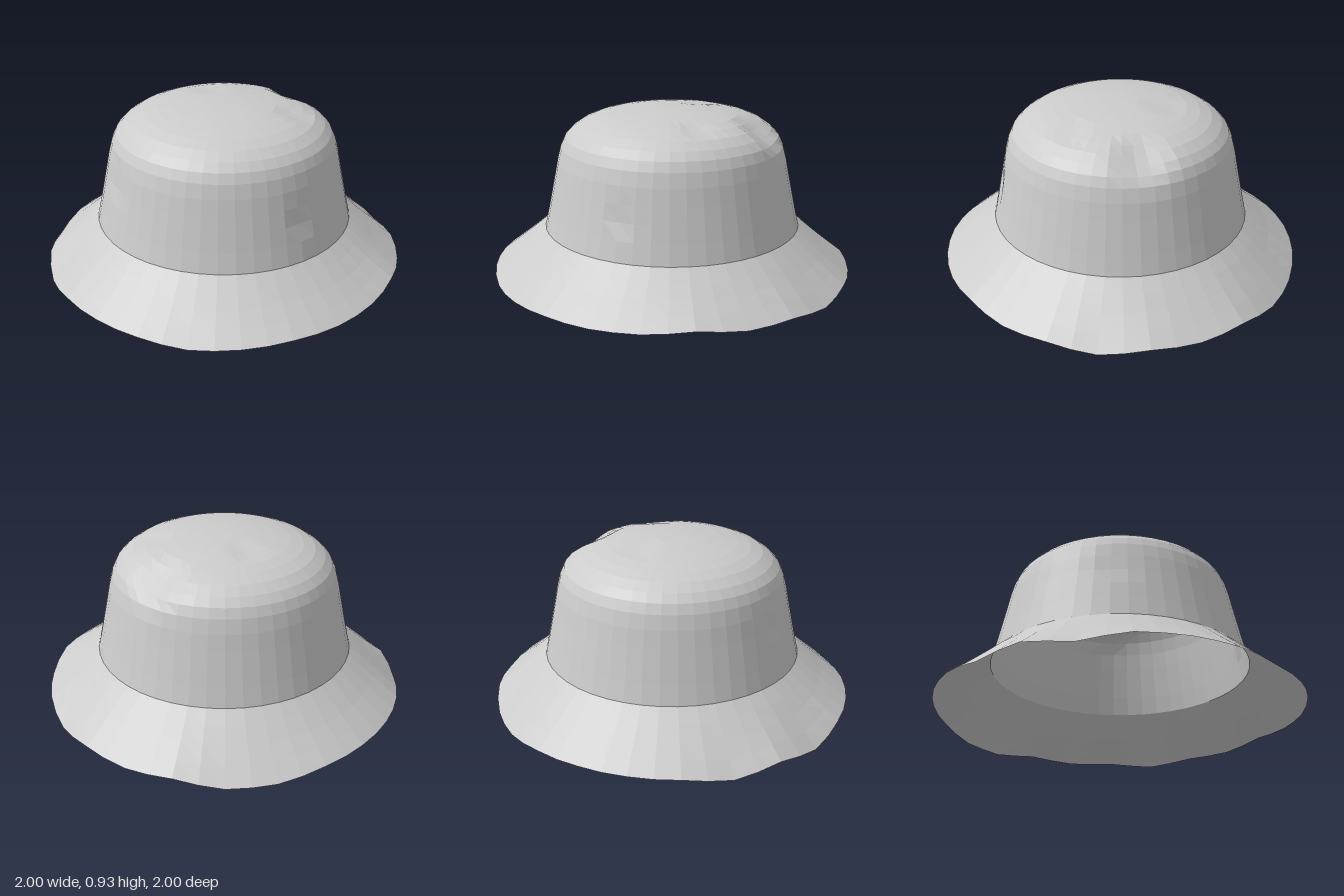
import * as THREE from 'three';

const SEGMENTS = 48;
const cloth = new THREE.MeshStandardMaterial({ color: 0xcccccc, flatShading: true, side: THREE.DoubleSide });

// Height of the wavy hem every 15 degrees, going from +x towards +z
const HEM = [0.052, 0.08, 0.062, 0.055, 0.055, 0.042, 0.032, 0.05, 0.055, 0.052, 0.012, 0.05,
  0.018, 0.05, 0.055, 0.055, 0.045, 0.015, 0.012, 0.05, 0.037, 0.05, 0.025, 0.055];

// Soft dents in the crown: centre, reach, depth
const DENTS = [
  { at: [0.36, 0.87, -0.4], reach: 0.2, depth: 0.045 },
  { at: [0.4, 0.9, 0.02], reach: 0.13, depth: 0.015 },
  { at: [-0.12, 0.93, -0.22], reach: 0.14, depth: 0.01 },
  { at: [0.47, 0.5, 0.46], reach: 0.11, depth: 0.012 },
  { at: [-0.5, 0.6, 0.4], reach: 0.15, depth: 0.01 },
];

// Smoothly blended hem height at an angle
function hemHeight(angle) {
  const t = (((angle / (Math.PI * 2)) % 1) + 1) % 1 * HEM.length;
  const i = Math.floor(t), f = t - i;
  const s = f * f * (3 - 2 * f);
  return HEM[i % HEM.length] * (1 - s) + HEM[(i + 1) % HEM.length] * s;
}

// Turn a profile of [radius, height] pairs, listed bottom to top
function turn(name, profile, reshape) {
  const geometry = new THREE.LatheGeometry(profile.map(([r, y]) => new THREE.Vector2(r, y)), SEGMENTS);
  const position = geometry.attributes.position;
  const v = new THREE.Vector3();
  for (let i = 0; i < position.count; i++) {
    reshape(v.fromBufferAttribute(position, i));
    position.setXYZ(i, v.x, v.y, v.z);
  }
  geometry.computeVertexNormals();
  const mesh = new THREE.Mesh(geometry, cloth);
  mesh.name = name;
  return mesh;
}

export function createModel() {
  const hat = new THREE.Group();
  hat.name = 'bucketHat';

  // Crown: tapered wall, rounded shoulder and shallow dome
  const crown = [[0.712, 0.285], [0.688, 0.39], [0.669, 0.48], [0.65, 0.57], [0.632, 0.66], [0.612, 0.735],
    [0.588, 0.785], [0.55, 0.825], [0.495, 0.862], [0.43, 0.888], [0.36, 0.906], [0.28, 0.92],
    [0.19, 0.931], [0.1, 0.938], [0, 0.941]];
  const core = new THREE.Vector3(0, 0.4, 0);
  const inward = new THREE.Vector3();
  hat.add(turn('crown', crown, (v) => {
    for (const { at, reach, depth } of DENTS) {
      const d = Math.hypot(v.x - at[0], v.y - at[1], v.z - at[2]) / reach;
      if (d >= 1) continue;
      inward.subVectors(core, v).normalize();
      v.addScaledVector(inward, depth * (1 - d * d) ** 2);
    }
  }));

  // Brim: sloping cone whose ripples grow towards the hem
  const brim = [[1, 0.055], [0.925, 0.112], [0.85, 0.17], [0.78, 0.228], [0.712, 0.285]];
  hat.add(turn('brim', brim, (v) => {
    const spread = (Math.hypot(v.x, v.z) - 0.712) / 0.288;
    v.y += (hemHeight(Math.atan2(v.z, v.x)) - 0.055) * spread ** 1.5 || 0;
  }));

  // Rest the lowest point of the hem on the ground
  const lowest = new THREE.Box3().setFromObject(hat).min.y;
  hat.children.forEach((part) => part.geometry.translate(0, -lowest, 0));
  return hat;
}
